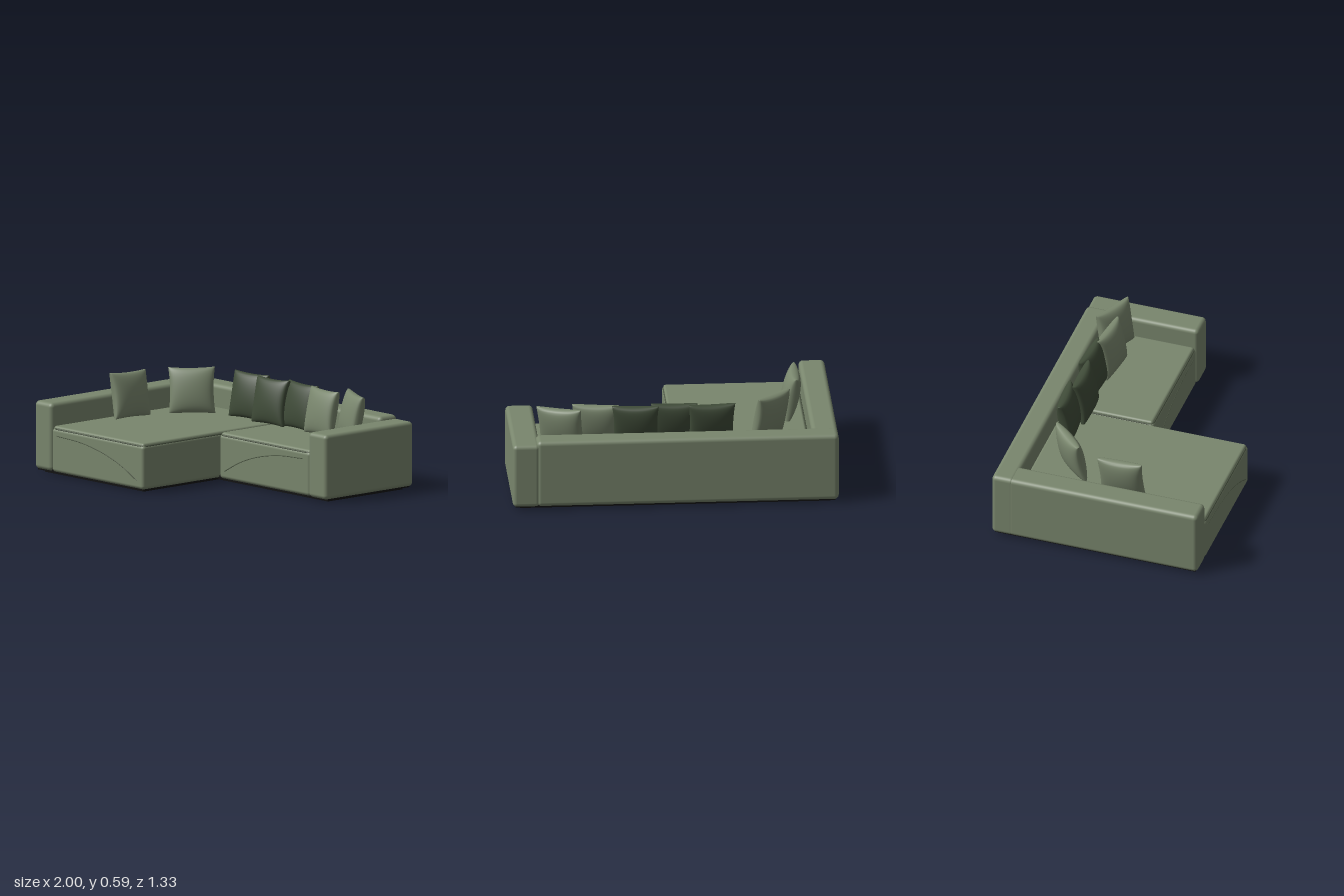
import * as THREE from 'three';
import { RoundedBoxGeometry } from 'three/addons/geometries/RoundedBoxGeometry.js';
import { mergeVertices } from 'three/addons/utils/BufferGeometryUtils.js';

export function createModel() {
  const root = new THREE.Group();
  root.name = 'cornerSofa';

  const material = (name, color) => {
    const m = new THREE.MeshStandardMaterial({ color });
    m.name = name;
    return m;
  };
  const sage = material('sage fabric', 0x79866d);
  const forest = material('dark green fabric', 0x3f4b38);
  const seamGreen = material('seam green', 0x525d49);
  const black = material('black base', 0x111111);

  const add = (name, geometry, mat, parent = root) => {
    const mesh = new THREE.Mesh(geometry, mat);
    mesh.name = name;
    parent.add(mesh);
    return mesh;
  };

  // Rounded block given by its limits on each axis
  const block = (name, [x0, x1], [y0, y1], [z0, z1], radius, mat = sage, parent = root) => {
    const g = new RoundedBoxGeometry(x1 - x0, y1 - y0, z1 - z0, 4, radius);
    g.translate((x0 + x1) / 2, (y0 + y1) / 2, (z0 + z1) / 2);
    return add(name, g, mat, parent);
  };

  // Frame: back and the two arms
  block('back', [-1, 0.85], [0.02, 0.445], [-0.665, -0.52], 0.028);
  block('leftSideArm', [-1, -0.84], [0.02, 0.443], [-0.56, 0.662], 0.028);
  block('shortArm', [0.83, 0.997], [0.02, 0.422], [-0.665, 0.058], 0.026);

  // Seats: body, top panel, piping around the top and a curved seam on the front
  const seat = (name, x, z, seamPoints) => {
    const group = new THREE.Group();
    group.name = name;
    root.add(group);
    block('seatBody', x, [0.02, 0.293], z, 0.022, sage, group);
    block('seatTop', [x[0] + 0.008, x[1] - 0.008], [0.26, 0.306], [z[0] + 0.008, z[1] - 0.008], 0.016, sage, group);

    const i = 0.008, r = 0.025, y = 0.289;
    const [xa, xb, za, zb] = [x[0] + i, x[1] - i, z[0] + i, z[1] - i];
    const corners = [];
    [[xb - r, zb - r, 0], [xa + r, zb - r, 1], [xa + r, za + r, 2], [xb - r, za + r, 3]].forEach(([cx, cz, q]) => {
      for (let k = 0; k <= 3; k++) {
        const a = (q + k / 3) * Math.PI / 2;
        corners.push(new THREE.Vector3(cx + r * Math.cos(a), y, cz + r * Math.sin(a)));
      }
    });
    const loop = new THREE.CurvePath();
    corners.forEach((p, k) => loop.add(new THREE.LineCurve3(p, corners[(k + 1) % corners.length])));
    add('piping', new THREE.TubeGeometry(loop, 160, 0.006, 6, true), seamGreen, group);

    const curve = new THREE.CatmullRomCurve3(seamPoints.map(([px, py]) => new THREE.Vector3(px, py, z[1])));
    add('frontSeam', new THREE.TubeGeometry(curve, 40, 0.003, 6), seamGreen, group);
  };
  const arc = [[0.055, 0.07], [0.2, 0.145], [0.36, 0.2], [0.55, 0.236], [0.77, 0.248]];
  seat('chaiseSeat', [-0.842, -0.004], [-0.53, 0.66], arc.map(([x, y]) => [-x * 1.03, y]));
  seat('shortSeat', [0.004, 0.832], [-0.53, 0.045], arc);

  // L-shaped plinth and the strip it stands on
  const plinth = (name, inset, y0, y1) => {
    const shape = new THREE.Shape();
    [[-1, 0.665], [-1, -0.665], [1, -0.665], [1, 0.05], [0, 0.05], [0, 0.665]].forEach(([x, z], k) => {
      const sx = k < 2 ? 1 : -1, sz = k === 1 || k === 2 ? 1 : -1;
      shape[k ? 'lineTo' : 'moveTo'](x + sx * inset, -(z + sz * inset));
    });
    const g = new THREE.ExtrudeGeometry(shape, { depth: y1 - y0, bevelEnabled: false });
    g.rotateX(-Math.PI / 2);
    g.translate(0, y0, 0);
    add(name, g, black);
  };
  plinth('underside', 0.02, 0.014, 0.04);
  plinth('baseStrip', 0.05, 0, 0.016);

  // Pillow: a box swollen in the middle, with pinched edges and pointed corners
  const pillowGeometry = (() => {
    let g = new THREE.BoxGeometry(2, 2, 2, 20, 20, 1);
    const p = g.attributes.position;
    for (let k = 0; k < p.count; k++) {
      const u = Math.sin(p.getX(k) * Math.PI / 2);
      const v = Math.sin(p.getY(k) * Math.PI / 2);
      const swell = Math.pow(Math.max(0, (1 - u * u) * (1 - v * v)), 0.38);
      p.setXYZ(k,
        0.143 * u * (1 - 0.07 * (1 - v * v)),
        0.143 * v * (1 - 0.05 * (1 - u * u)),
        p.getZ(k) * (0.004 + 0.05 * swell));
    }
    g.deleteAttribute('normal');
    g.deleteAttribute('uv');
    g = mergeVertices(g, 1e-5);
    g.computeVertexNormals();
    return g;
  })();

  // x, z, turn, lean, roll, fabric
  [
    [-0.235, -0.42, 0.08, -0.2, 0, forest],
    [-0.005, -0.39, 0, -0.2, 0.02, forest],
    [0.23, -0.42, -0.08, -0.2, 0, forest],
    [0.472, -0.38, -0.13, -0.2, 0.01, sage],
    [0.688, -0.43, -0.4, -0.2, -0.03, sage],
    [-0.605, -0.28, 0.8, -0.2, 0.02, sage],
    [-0.755, 0.093, Math.PI / 2, -0.2, -0.03, sage],
  ].forEach(([x, z, turn, lean, roll, mat], k) => {
    const pillow = add('pillow' + (k + 1), pillowGeometry, mat);
    pillow.position.set(x, 0.443, z);
    pillow.rotation.set(lean, turn, roll, 'YXZ');
  });

  return root;
}
